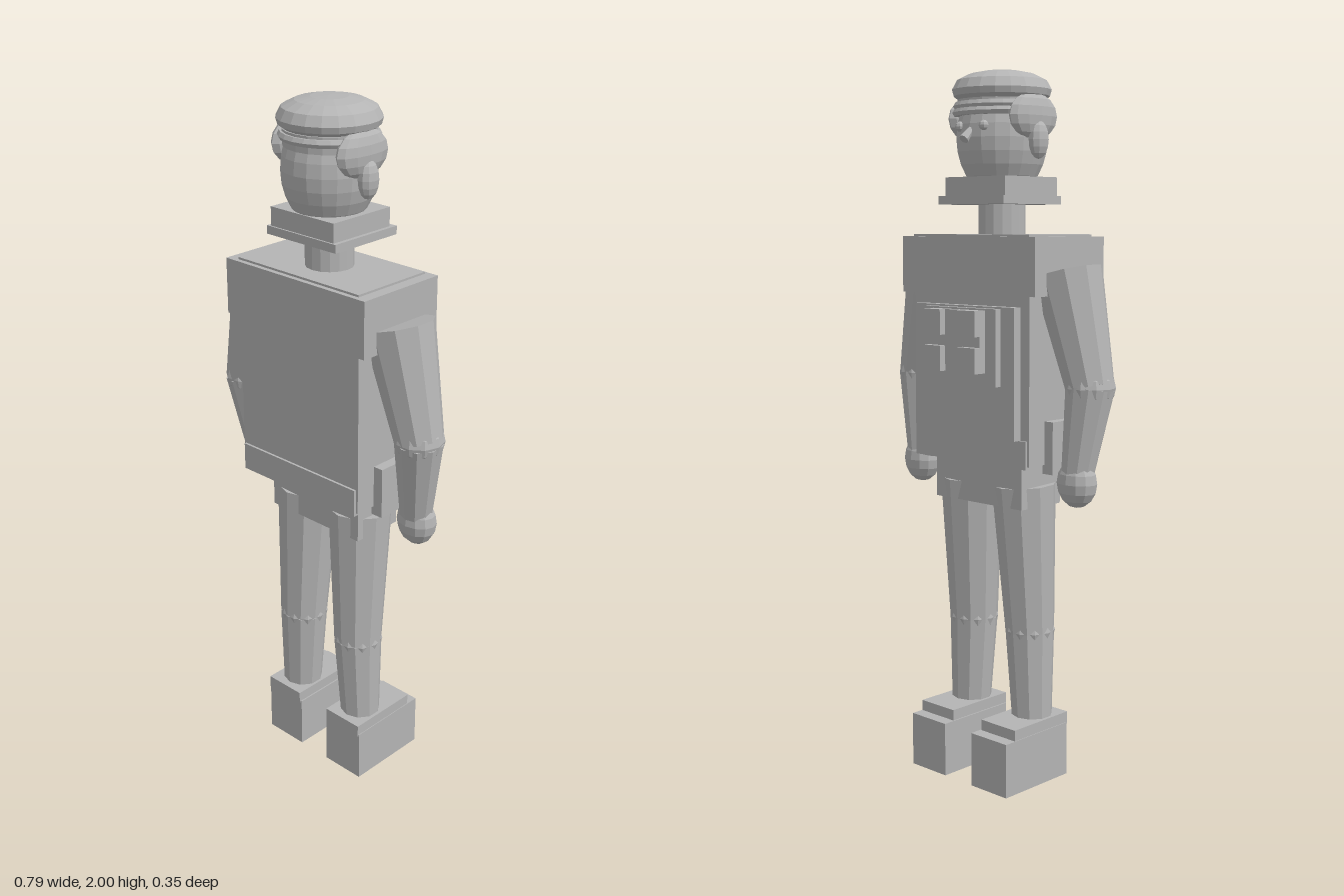
import * as THREE from 'three';

export function createModel() {
  const model = new THREE.Group();
  const grey = new THREE.MeshStandardMaterial({ color: 0xb4b4b4, flatShading: true });
  grey.name = 'plain grey';

  const add = (name, geometry) => {
    const mesh = new THREE.Mesh(geometry, grey);
    mesh.name = name;
    model.add(mesh);
    return mesh;
  };
  // Box given by its limits on each axis
  const box = (name, x0, x1, y0, y1, z0, z1) => {
    const mesh = add(name, new THREE.BoxGeometry(x1 - x0, y1 - y0, z1 - z0));
    mesh.position.set((x0 + x1) / 2, (y0 + y1) / 2, (z0 + z1) / 2);
    return mesh;
  };
  const ball = (name, pos, radii, w = 16, h = 10) => {
    const mesh = add(name, new THREE.SphereGeometry(1, w, h));
    mesh.position.set(...pos);
    mesh.scale.set(...radii);
    return mesh;
  };
  // Tapered cylinder running from point a to point b
  const limb = (name, a, b, ra, rb, sides = 10) => {
    const start = new THREE.Vector3(...a), end = new THREE.Vector3(...b);
    const axis = end.clone().sub(start);
    const mesh = add(name, new THREE.CylinderGeometry(rb, ra, axis.length(), sides));
    mesh.position.copy(start).add(end).multiplyScalar(0.5);
    mesh.quaternion.setFromUnitVectors(new THREE.Vector3(0, 1, 0), axis.normalize());
    return mesh;
  };
  const bothSides = (build) => { build(1, 'left'); build(-1, 'right'); };
  // Box mirrored across x = 0
  const pair = (name, x0, x1, ...rest) => bothSides((s, side) =>
    box(`${side} ${name}`, Math.min(s * x0, s * x1), Math.max(s * x0, s * x1), ...rest));

  // Torso
  box('torso', -0.222, 0.222, 0.93, 1.39, -0.092, 0.158);
  box('shoulder yoke', -0.255, 0.255, 1.39, 1.547, -0.108, 0.174);
  box('yoke top plate', -0.222, 0.222, 1.54, 1.553, -0.095, 0.16);
  box('belt', -0.215, 0.215, 0.922, 1.0, -0.098, 0.165);
  box('pelvis', -0.167, 0.167, 0.8, 0.93, -0.062, 0.098);
  pair('hip pouch', 0.215, 0.252, 0.905, 1.05, -0.03, 0.095);

  // Chest gear on the -z side
  box('chest panel', -0.19, 0.19, 1.0, 1.36, -0.118, -0.09);
  box('gear backing', -0.14, 0.14, 1.145, 1.355, -0.137, -0.115);
  box('gear slab', -0.1, 0.1, 1.18, 1.35, -0.157, -0.13);
  for (const y of [1.18, 1.28]) pair('gear pouch', 0.033, 0.1, y, y + 0.07, -0.177, -0.15);

  // Neck and collar
  limb('neck', [0, 1.53, 0.035], [0, 1.66, 0.035], 0.066, 0.066, 16);
  box('collar plate', -0.125, 0.125, 1.635, 1.658, -0.09, 0.143);
  box('collar', -0.114, 0.114, 1.655, 1.71, -0.074, 0.138);

  // Head and face
  ball('head', [0, 1.815, 0.035], [0.126, 0.165, 0.13], 20, 14);
  bothSides((s, side) => {
    ball(`${side} ear`, [s * 0.137, 1.808, 0.035], [0.025, 0.052, 0.032], 10, 8);
    ball(`${side} side hair`, [s * 0.116, 1.872, 0.036], [0.032, 0.064, 0.092], 12, 8);
    ball(`${side} eye`, [s * 0.045, 1.845, -0.084], [0.014, 0.014, 0.014], 8, 6);
  });
  limb('nose', [0, 1.838, -0.085], [0, 1.808, -0.115], 0.008, 0.014, 8);

  // Cap: crown, band and small peak
  const crown = [[0, 1.915], [0.115, 1.917], [0.134, 1.93], [0.139, 1.947], [0.125, 1.973],
    [0.09, 1.99], [0.05, 1.998], [0, 2]].map(([r, y]) => new THREE.Vector2(r, y));
  add('cap crown', new THREE.LatheGeometry(crown, 20)).position.z = 0.034;
  limb('cap band', [0, 1.875, 0.034], [0, 1.92, 0.034], 0.122, 0.124, 20);
  const rim = add('cap rim', new THREE.TorusGeometry(0.123, 0.012, 6, 24));
  rim.rotation.x = Math.PI / 2;
  rim.position.set(0, 1.903, 0.034);
  const peak = add('cap peak', new THREE.TorusGeometry(0.125, 0.011, 6, 14, Math.PI));
  peak.rotation.x = -Math.PI / 2;
  peak.position.set(0, 1.885, 0.032);

  // Arms and legs
  bothSides((s, side) => {
    const elbow = [s * 0.328, 1.145, 0.035];
    limb(`${side} upper arm`, elbow, [s * 0.247, 1.45, 0.033], 0.068, 0.098);
    ball(`${side} elbow`, elbow, [0.069, 0.06, 0.07], 10, 8);
    limb(`${side} forearm`, [s * 0.305, 0.91, 0.013], elbow, 0.046, 0.069);
    ball(`${side} hand`, [s * 0.305, 0.885, 0.01], [0.06, 0.068, 0.048], 12, 8);

    const knee = [s * 0.112, 0.435, 0.035];
    limb(`${side} thigh`, knee, [s * 0.102, 0.858, 0.018], 0.071, 0.092);
    ball(`${side} knee`, knee, [0.072, 0.05, 0.072], 10, 8);
    limb(`${side} shin`, [s * 0.122, 0.17, 0.034], knee, 0.058, 0.071);
  });
  pair('foot', 0.053, 0.189, 0, 0.155, -0.145, 0.11);
  pair('foot top', 0.057, 0.187, 0.15, 0.186, -0.108, 0.114);

  return model;
}
